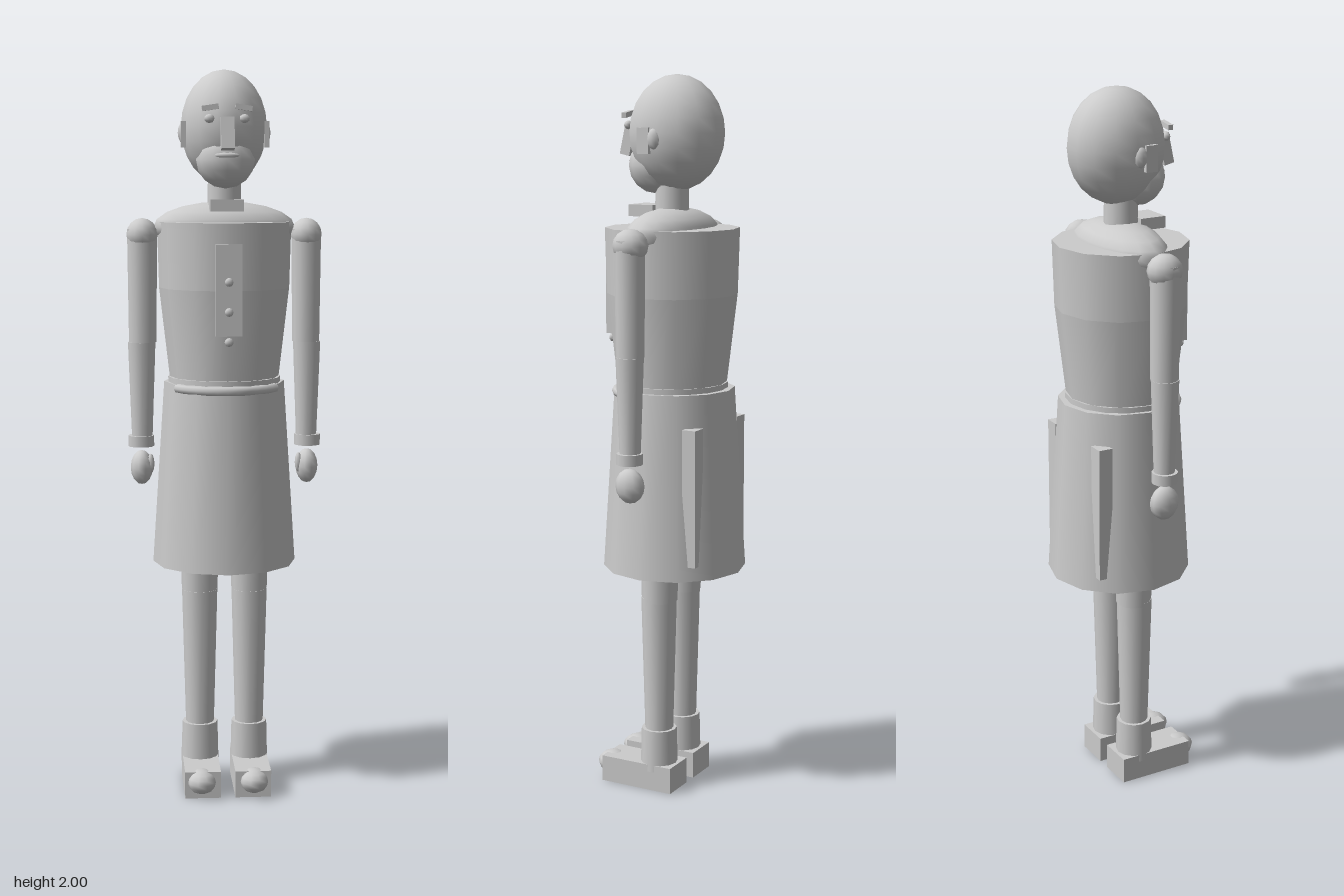
import * as THREE from 'three';

export function createModel() {
  const root = new THREE.Group();
  const mat = new THREE.MeshStandardMaterial({ color: 0xcccccc, side: THREE.DoubleSide });

  const add = (name, geo, x, y, z) => {
    const m = new THREE.Mesh(geo, mat);
    m.name = name;
    m.position.set(x, y, z);
    root.add(m);
    return m;
  };
  const box = (name, w, h, d, x, y, z) => add(name, new THREE.BoxGeometry(w, h, d), x, y, z);
  const ball = (name, rx, ry, rz, x, y, z, seg = 12, rings = 8) =>
    add(name, new THREE.SphereGeometry(1, seg, rings).scale(rx, ry, rz), x, y, z);
  // upright tapered cylinder between two heights
  const tube = (name, rTop, rBottom, y0, y1, x, z, seg = 12) =>
    add(name, new THREE.CylinderGeometry(rTop, rBottom, y1 - y0, seg), x, (y0 + y1) / 2, z);

  // head
  ball('skull', 0.118, 0.155, 0.136, 0, 1.845, -0.012, 14, 12);
  ball('beard', 0.08, 0.077, 0.076, 0, 1.757, 0.05, 12, 8);
  box('nose', 0.036, 0.085, 0.03, 0, 1.825, 0.133).rotation.x = -0.22;
  ball('mouth', 0.034, 0.008, 0.012, 0, 1.768, 0.116, 8, 6);

  // neck, collar and shoulders
  tube('neck', 0.045, 0.048, 1.58, 1.71, 0, 0.003);
  box('collar', 0.09, 0.032, 0.075, 0, 1.635, 0.077);
  ball('shoulderYoke', 0.195, 0.07, 0.1, 0, 1.575, 0, 16, 10);

  // torso
  tube('chest', 0.185, 0.18, 1.41, 1.59, 0, 0.002);
  tube('waist', 0.18, 0.15, 1.15, 1.41, 0, 0.002);
  tube('belt', 0.156, 0.156, 1.147, 1.165, 0, 0.004, 16);

  // raised arc of the belt across the front
  const arc = new THREE.TorusGeometry(0.153, 0.013, 8, 12, Math.PI * 2 / 3);
  arc.rotateZ(Math.PI / 6).rotateX(Math.PI / 2);
  add('frontBelt', arc, 0, 1.139, 0.005);

  // button strip
  box('buttonStrip', 0.07, 0.245, 0.022, 0, 1.413, 0.183);
  for (const y of [1.435, 1.355, 1.275]) ball('button', 0.012, 0.012, 0.01, 0, y, 0.193, 8, 6);

  // skirt
  tube('skirt', 0.167, 0.2, 0.64, 1.15, 0, -0.005);

  for (const s of [1, -1]) {
    // face details
    ball('eye', 0.014, 0.012, 0.012, s * 0.047, 1.865, 0.112, 8, 6);
    box('eyebrow', 0.045, 0.014, 0.014, s * 0.045, 1.894, 0.115).rotation.z = -s * 0.15;
    box('sideburn', 0.014, 0.07, 0.034, s * 0.113, 1.825, 0.028);
    ball('ear', 0.014, 0.028, 0.019, s * 0.113, 1.83, -0.002, 8, 6);

    // rear skirt pleats
    box('skirtPleat', 0.045, 0.38, 0.04, s * 0.126, 0.87, -0.128);

    // arm
    ball('shoulder', 0.043, 0.045, 0.049, s * 0.226, 1.555, 0.005);
    tube('upperArm', 0.041, 0.038, 1.26, 1.57, s * 0.226, 0.007);
    tube('forearm', 0.038, 0.028, 0.98, 1.26, s * 0.229, 0.007);
    tube('cuff', 0.036, 0.036, 0.97, 1.0, s * 0.232, 0.007);
    ball('hand', 0.031, 0.048, 0.042, s * 0.231, 0.91, 0.007, 10, 8);
    ball('thumb', 0.01, 0.028, 0.012, s * 0.206, 0.922, 0.022, 8, 6);

    // leg and shoe
    tube('thigh', 0.056, 0.05, 0.55, 0.75, s * 0.07, 0.005);
    tube('shin', 0.05, 0.038, 0.1, 0.56, s * 0.07, 0.007);
    tube('sock', 0.05, 0.053, 0.055, 0.175, s * 0.07, 0.007);
    box('shoe', 0.1, 0.075, 0.222, s * 0.07, 0.0375, 0.056);
    ball('shoeToe', 0.042, 0.034, 0.047, s * 0.073, 0.045, 0.155, 10, 8);
  }
  return root;
}
